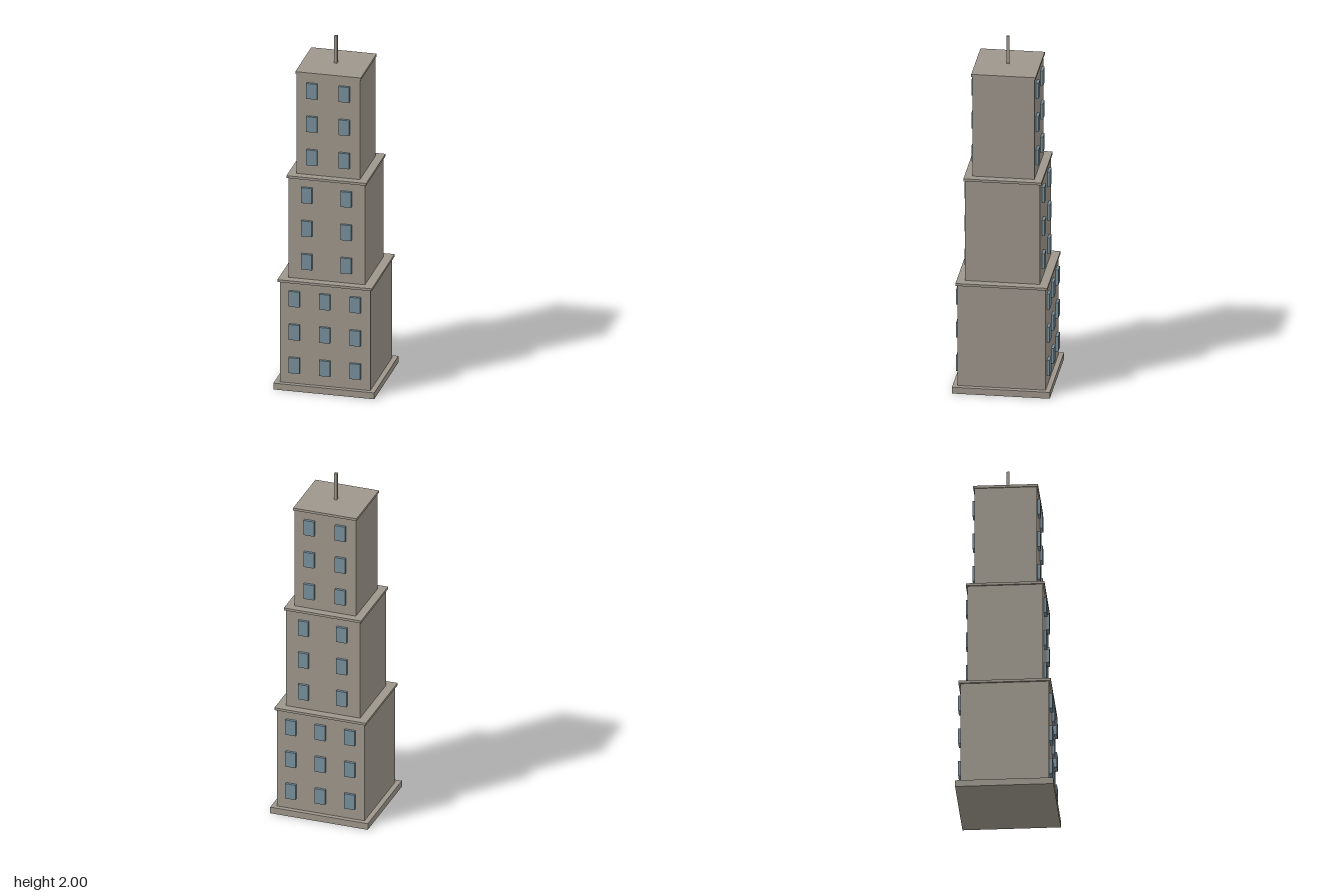
import * as THREE from 'three';

export function createModel() {
  const model = new THREE.Group();
  model.name = 'tower';

  const stone = new THREE.MeshStandardMaterial({ color: 0x9e978c });
  stone.name = 'warm grey stone';
  const glass = new THREE.MeshStandardMaterial({ color: 0x78909c });
  glass.name = 'blue grey glass';

  // Box given by its size, centre x, bottom y and centre z
  function box(parent, name, material, w, h, d, x, bottom, z) {
    const mesh = new THREE.Mesh(new THREE.BoxGeometry(w, h, d), material);
    mesh.name = name;
    mesh.position.set(x, bottom + h / 2, z);
    parent.add(mesh);
  }

  // Plinth
  const baseTop = 0.037;
  box(model, 'plinth', stone, 0.563, baseTop, 0.535, 0, 0, 0);

  // Three stepped storeys, each with a thin overhanging cornice
  const tiers = [
    { name: 'lowerTier', bottom: baseTop, top: 0.64, w: 0.506, d: 0.482, capW: 0.527, capD: 0.502, columns: [-0.17, 0, 0.17] },
    { name: 'middleTier', bottom: 0.64, top: 1.24, w: 0.428, d: 0.409, capW: 0.445, capD: 0.427, columns: [-0.11, 0.11] },
    { name: 'upperTier', bottom: 1.24, top: 1.84, w: 0.354, d: 0.338, capW: 0.366, capD: 0.352, columns: [-0.09, 0.09] },
  ];
  const capHeight = 0.014;

  for (const t of tiers) {
    const tier = new THREE.Group();
    tier.name = t.name;
    box(tier, 'walls', stone, t.w, t.top - capHeight - t.bottom, t.d, 0, t.bottom, 0);
    box(tier, 'cornice', stone, t.capW, capHeight, t.capD, 0, t.top - capHeight, 0);

    // Window panes on the front and back walls, three rows high
    for (const side of [1, -1]) {
      for (let row = 0; row < 3; row++) {
        for (const x of t.columns) {
          const y = t.top - 0.54 + row * 0.195;
          box(tier, 'window', glass, 0.06, 0.09, 0.03, x, y, side * t.d / 2);
        }
      }
    }
    model.add(tier);
  }

  // Roof mast
  box(model, 'mast', stone, 0.016, 0.16, 0.016, 0, 1.84, 0);

  return model;
}
